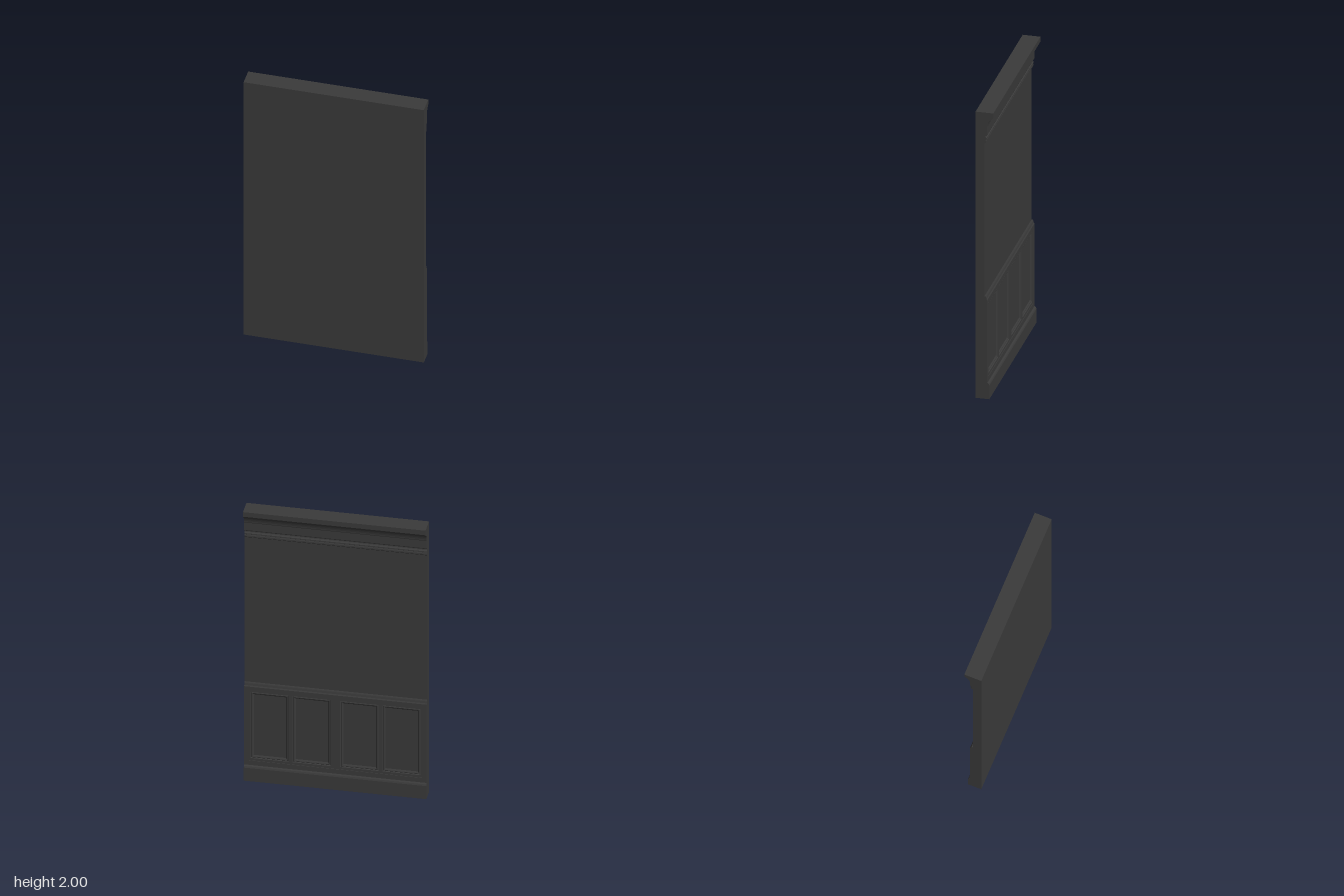
import * as THREE from 'three';

const WIDTH = 1.176;
const HALF = WIDTH / 2;

// Horizontal run along x; profile points are [projection towards -z, y]
function run(name, points, material) {
  const shape = new THREE.Shape(points.map(([d, y]) => new THREE.Vector2(d, y)));
  const geometry = new THREE.ExtrudeGeometry(shape, { depth: WIDTH, bevelEnabled: false });
  geometry.rotateY(Math.PI / 2).translate(-HALF, 0, 0);
  const mesh = new THREE.Mesh(geometry, material);
  mesh.name = name;
  return mesh;
}

function rectangle(Type, [x0, x1, y0, y1]) {
  return new Type([[x0, y0], [x1, y0], [x1, y1], [x0, y1]].map(p => new THREE.Vector2(...p)));
}

// Flat board with rectangular openings, standing out from z = 0 towards -z
function board(name, outer, openings, depth, material) {
  const shape = rectangle(THREE.Shape, outer);
  for (const o of openings) shape.holes.push(rectangle(THREE.Path, o));
  const geometry = new THREE.ExtrudeGeometry(shape, { depth, bevelEnabled: false });
  geometry.translate(0, 0, -depth);
  const mesh = new THREE.Mesh(geometry, material);
  mesh.name = name;
  return mesh;
}

// Moulded panel: nested rectangles given as [inset, projection], closed in the middle
function mouldedPanel(name, [x0, x1, y0, y1], steps, material) {
  const loops = steps.map(([i, d]) => [
    [x0 + i, y0 + i, -d], [x0 + i, y1 - i, -d], [x1 - i, y1 - i, -d], [x1 - i, y0 + i, -d],
  ]);
  const positions = [];
  const quad = (a, b, c, d) => positions.push(...a, ...b, ...c, ...a, ...c, ...d);
  for (let k = 0; k < loops.length - 1; k++) {
    for (let i = 0; i < 4; i++) {
      const j = (i + 1) % 4;
      quad(loops[k][i], loops[k][j], loops[k + 1][j], loops[k + 1][i]);
    }
  }
  quad(...loops[loops.length - 1]);
  const geometry = new THREE.BufferGeometry();
  geometry.setAttribute('position', new THREE.Float32BufferAttribute(positions, 3));
  geometry.computeVertexNormals();
  const mesh = new THREE.Mesh(geometry, material);
  mesh.name = name;
  return mesh;
}

export function createModel() {
  const group = new THREE.Group();
  group.name = 'panelledWall';
  const material = new THREE.MeshStandardMaterial({ color: 0x3a3a3a });

  // Wall slab
  const wall = new THREE.Mesh(new THREE.BoxGeometry(WIDTH, 2, 0.058), material);
  wall.position.set(0, 1, 0.029);
  wall.name = 'wall';
  group.add(wall);

  // Crown moulding with a concave cove
  const crown = [[0, 2], [0.058, 2], [0.058, 1.966], [0.053, 1.96]];
  for (let i = 0; i <= 6; i++) {
    const a = (i / 6) * Math.PI / 2;
    crown.push([0.05 - 0.03 * Math.sin(a), 1.905 + 0.05 * Math.cos(a) ** 1.3]);
  }
  crown.push([0.018, 1.9], [0.018, 1.845], [0.015, 1.838], [0.004, 1.836], [0, 1.836]);
  group.add(run('crownMoulding', crown, material));

  // Rounded bead below the crown
  const bead = [[0, 1.836], [0.005, 1.836], [0.008, 1.826], [0.014, 1.82], [0.014, 1.812],
    [0.008, 1.808], [0.011, 1.802], [0.011, 1.792], [0.007, 1.787], [0, 1.785]];
  group.add(run('crownBead', bead, material));

  // Skirting board and chair rail
  group.add(run('skirting', [[0, 0], [0.032, 0], [0.032, 0.096], [0.028, 0.106],
    [0.022, 0.112], [0, 0.114]], material));
  group.add(run('chairRail', [[0, 0.676], [0.0185, 0.676], [0.0185, 0.69], [0.014, 0.697],
    [0.011, 0.71], [0.008, 0.716], [0, 0.716]], material));

  // Outer wainscot frame, with a slightly lower panel frame inside it
  const field = [-0.557, 0.557, 0.145, 0.663];
  group.add(board('wainscotFrame', [-HALF, HALF, 0.11, 0.68], [field], 0.0185, material));
  const panels = [];
  for (const [a, b] of [[0.03, 0.277], [0.301, 0.548]]) {
    panels.push([a, b, 0.162, 0.65], [-b, -a, 0.162, 0.65]);
  }
  group.add(board('panelFrame', field, panels, 0.015, material));

  // Four recessed panels with a moulded border
  const steps = [[0, 0.015], [0.003, 0.009], [0.007, 0.012], [0.012, 0.011], [0.02, 0.005]];
  panels.forEach((p, i) => group.add(mouldedPanel('panel' + (i + 1), p, steps, material)));

  return group;
}
